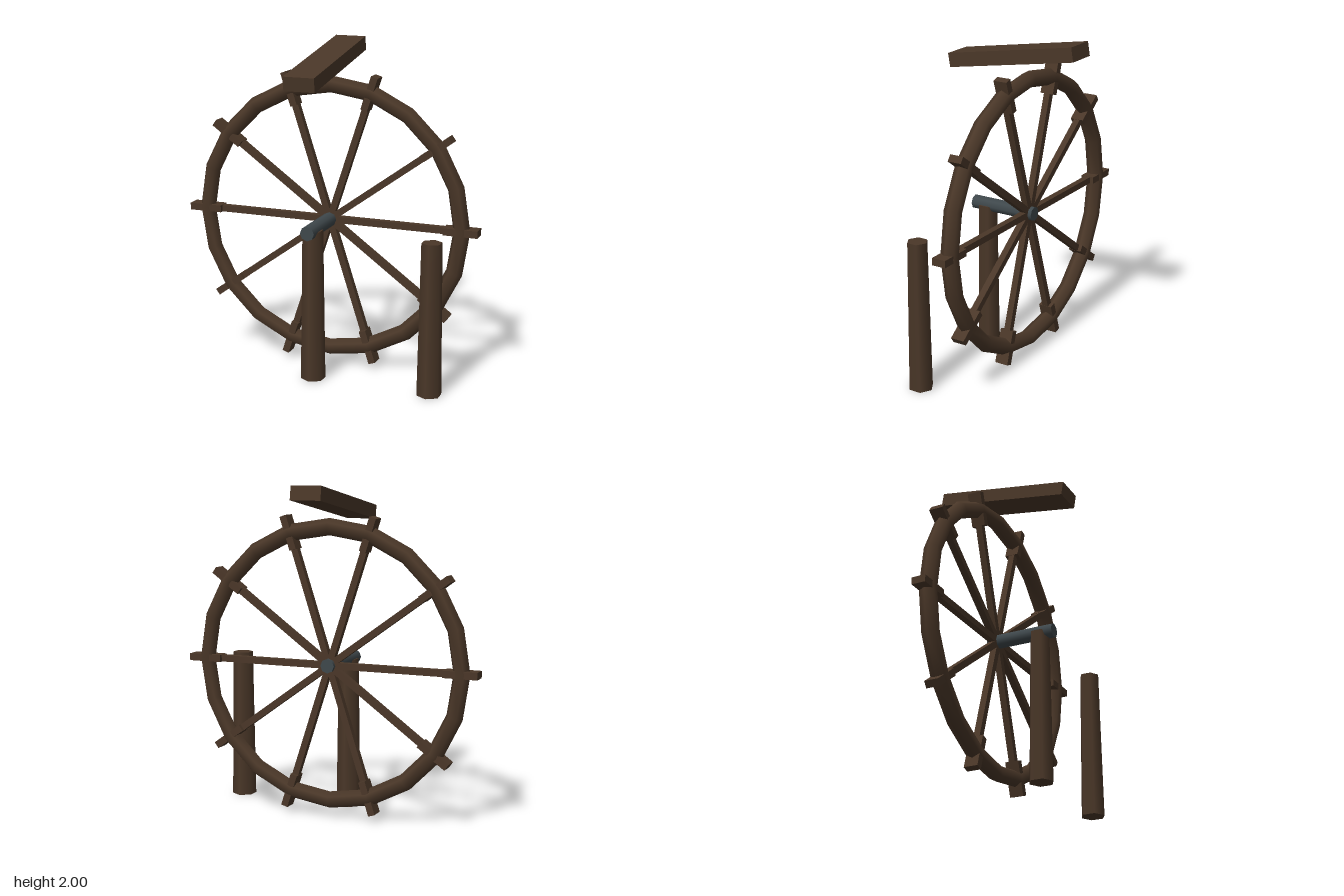
import * as THREE from 'three';

const HUB_Y = 0.927;
const WHEEL_Z = -0.077;

export function createModel() {
  const wood = new THREE.MeshStandardMaterial({ color: 0x4a3728 });
  wood.name = 'dark wood';
  const iron = new THREE.MeshStandardMaterial({ color: 0x3f484c });
  iron.name = 'iron';

  const model = new THREE.Group();
  model.name = 'waterWheel';

  const add = (parent, name, geometry, material, x = 0, y = 0, z = 0) => {
    const mesh = new THREE.Mesh(geometry, material);
    mesh.name = name;
    mesh.position.set(x, y, z);
    parent.add(mesh);
    return mesh;
  };

  // Wheel: rim with ten spokes, each ending in a paddle
  const wheel = new THREE.Group();
  wheel.name = 'wheel';
  wheel.position.set(0, HUB_Y, WHEEL_Z);
  model.add(wheel);
  add(wheel, 'rim', new THREE.TorusGeometry(0.826, 0.051, 6, 20), wood);

  const spokeGeometry = new THREE.BoxGeometry(0.826, 0.04, 0.04);
  const paddleGeometry = new THREE.BoxGeometry(0.21, 0.043, 0.086);
  for (let i = 0; i < 10; i++) {
    const arm = new THREE.Group();
    arm.name = 'spokeArm';
    arm.rotation.z = (i / 10) * Math.PI * 2;
    add(arm, 'spoke', spokeGeometry, wood, 0.413);
    add(arm, 'paddle', paddleGeometry, wood, 0.826);
    wheel.add(arm);
  }

  // Axle running from the front post through the hub
  const axle = add(model, 'axle', new THREE.CylinderGeometry(0.044, 0.044, 0.425, 8), iron, 0, HUB_Y, 0.0925);
  axle.rotation.x = Math.PI / 2;

  // Tapered six-sided posts
  const postGeometry = new THREE.CylinderGeometry(0.062, 0.075, HUB_Y, 6);
  for (const x of [0, 0.732]) add(model, 'post', postGeometry, wood, x, HUB_Y / 2, 0.212);

  // Tilted water chute above the wheel
  const chute = add(model, 'chute', new THREE.BoxGeometry(0.19, 0.085, 0.848), wood, 0, 1.89, 0);
  chute.rotation.x = 0.163;

  return model;
}
